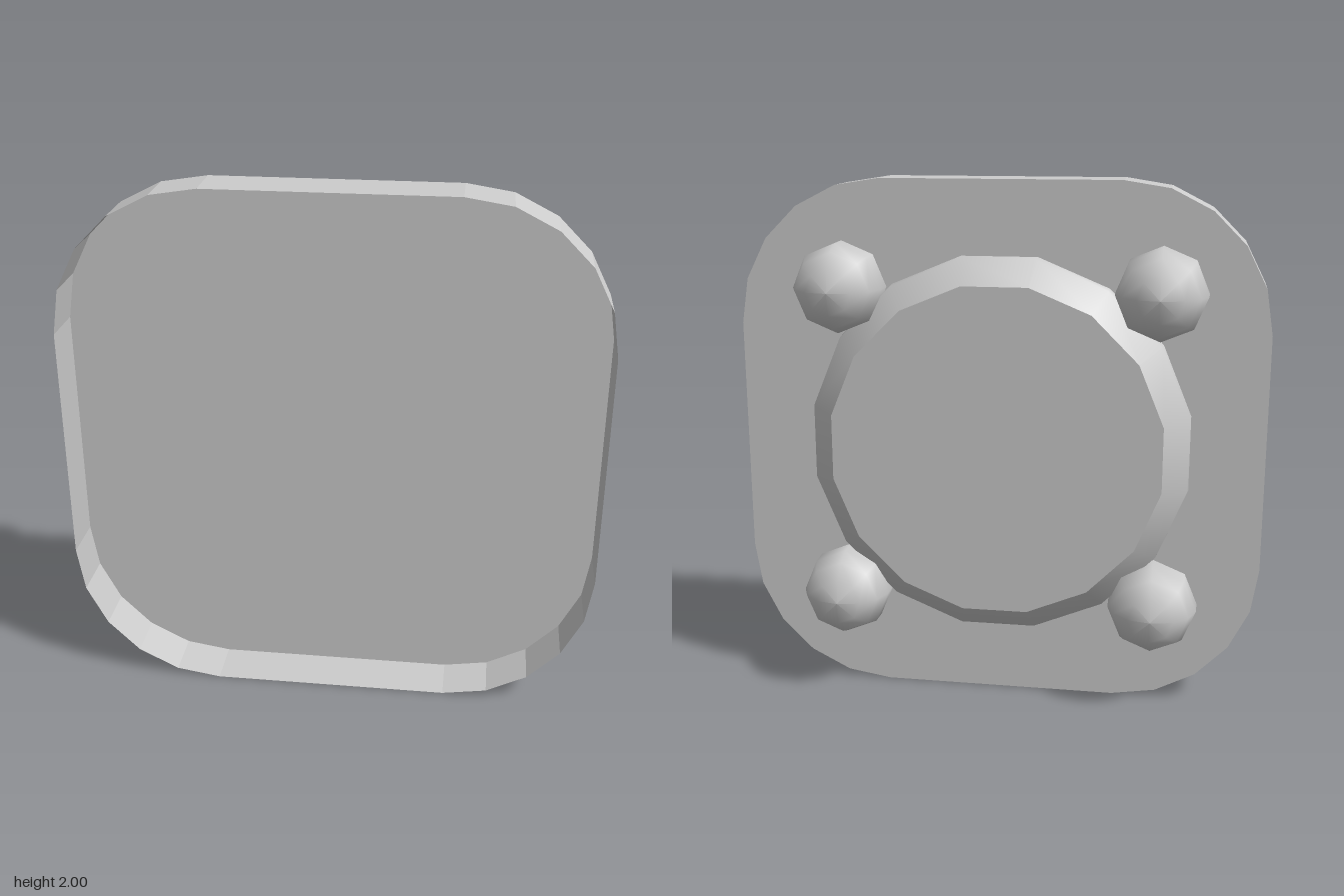
import * as THREE from 'three';

const grey = new THREE.MeshStandardMaterial({ color: 0xcccccc, side: THREE.DoubleSide });
grey.name = 'plain grey';

const FRONT = 0.205, BACK = 0.015; // z of the open rim and of the back panel

function addMesh(parent, name, geometry) {
  const mesh = new THREE.Mesh(geometry, grey);
  mesh.name = name;
  parent.add(mesh);
  return mesh;
}

// Lathe that rises from the back panel towards -z; profile is [radius, height]
function backLathe(profile, sides, start = 0) {
  const points = profile.map(([r, h]) => new THREE.Vector2(r, h));
  return new THREE.LatheGeometry(points, sides, start).rotateX(-Math.PI / 2);
}

// Rounded square, five straight segments per corner
function roundedSquare() {
  const points = [];
  const inset = 0.45, radius = 0.55, steps = 5;
  [[1, 1], [-1, 1], [-1, -1], [1, -1]].forEach(([sx, sy], corner) => {
    for (let i = 0; i <= steps; i++) {
      const a = (corner + i / steps) * Math.PI / 2;
      points.push(new THREE.Vector2(sx * inset + radius * Math.cos(a), sy * inset + radius * Math.sin(a)));
    }
  });
  return points;
}

// Thin wall around the outline, faceted
function wallGeometry(outline) {
  const pos = [];
  outline.forEach((a, i) => {
    const b = outline[(i + 1) % outline.length];
    pos.push(a.x, a.y, BACK, b.x, b.y, BACK, b.x, b.y, FRONT);
    pos.push(a.x, a.y, BACK, b.x, b.y, FRONT, a.x, a.y, FRONT);
  });
  const geometry = new THREE.BufferGeometry();
  geometry.setAttribute('position', new THREE.Float32BufferAttribute(pos, 3));
  geometry.computeVertexNormals();
  return geometry;
}

export function createModel() {
  const model = new THREE.Group();
  model.name = 'studdedTray';

  // Shallow tray, open at the front
  const tray = new THREE.Group();
  tray.name = 'tray';
  tray.position.y = 1;
  model.add(tray);
  const outline = roundedSquare();
  addMesh(tray, 'trayWall', wallGeometry(outline));
  addMesh(tray, 'backPanel', new THREE.ShapeGeometry(new THREE.Shape(outline))).position.z = BACK;

  // Raised tapered disc on the back
  const disc = new THREE.Group();
  disc.name = 'raisedDisc';
  disc.position.set(0, 1, BACK);
  model.add(disc);
  const sides = 16, turn = Math.PI / sides, topRadius = 0.637, height = 0.125;
  addMesh(disc, 'discSide', backLathe([[0.735, 0], [0.73, 0.04], [topRadius, height]], sides, turn));
  addMesh(disc, 'discFace', new THREE.CircleGeometry(topRadius, sides, turn).rotateY(Math.PI)).position.z = -height;

  // Domed studs in the four corners
  const dome = backLathe([[0.17, 0], [0.168, 0.08], [0.142, 0.148], [0.086, 0.202], [0, 0.22]], 8);
  for (const x of [-0.6, 0.6]) {
    for (const y of [0.4, 1.6]) {
      const name = (y > 1 ? 'upper' : 'lower') + (x > 0 ? 'Left' : 'Right') + 'Stud';
      addMesh(model, name, dome).position.set(x, y, BACK);
    }
  }
  return model;
}
